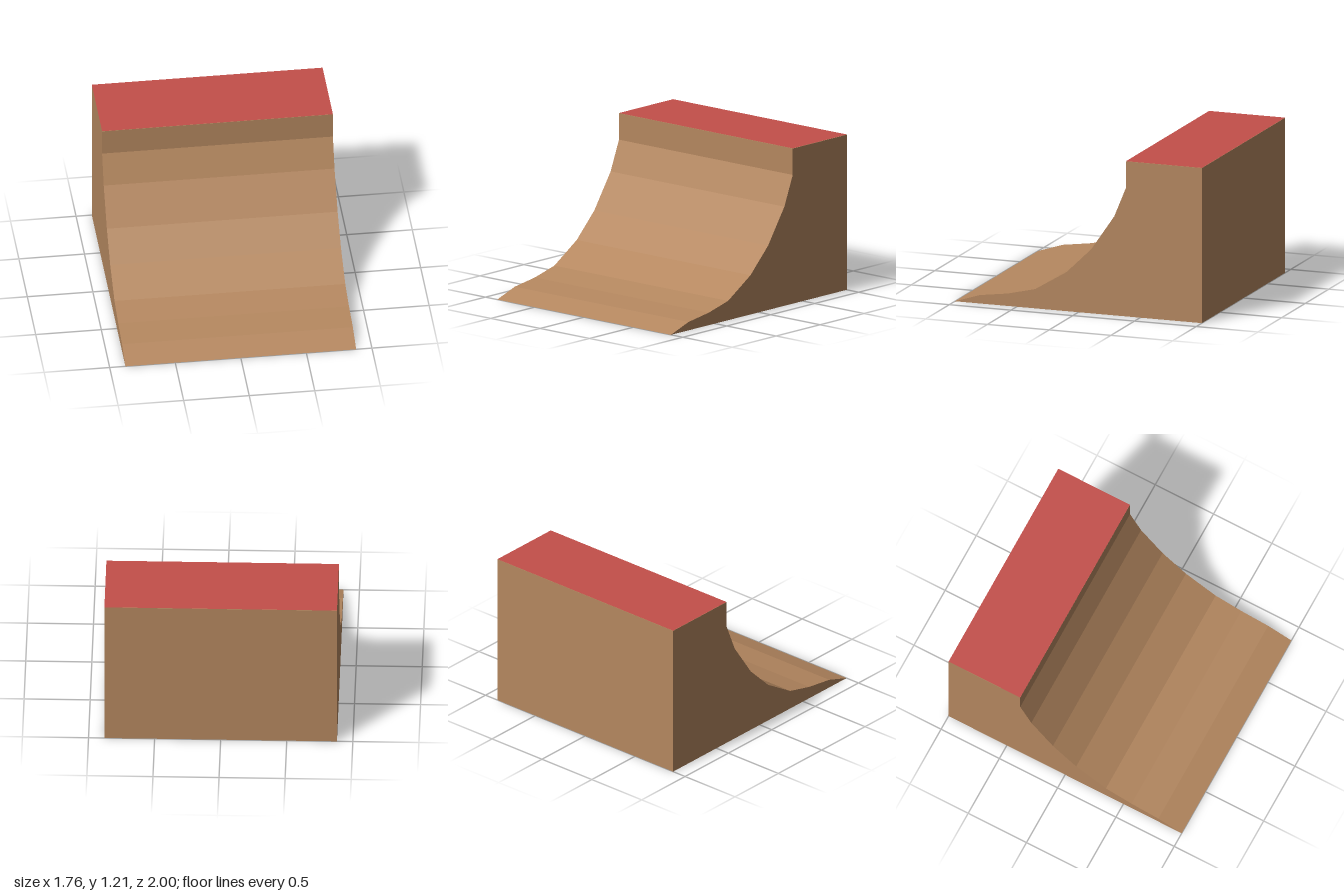
import * as THREE from 'three';

const WIDTH = 1.76;
const HEIGHT = 1.205;
const LIP_Z = -0.385;
const BACK_Z = -1;

// Side profile as [z, y], from the front toe up the curve to the deck and back
const PROFILE = [
  [1, 0], [0.8, 0.065], [0.57, 0.097], [0.35, 0.15], [0.095, 0.305], [-0.105, 0.5],
  [-0.29, 0.77], [LIP_Z, 1.0], [LIP_Z, HEIGHT], [BACK_Z, HEIGHT], [BACK_Z, 0],
];

export function createModel() {
  const wood = new THREE.MeshStandardMaterial({ color: 0xb4875f });
  wood.name = 'wood';
  const red = new THREE.MeshStandardMaterial({ color: 0xc34f4a });
  red.name = 'deck red';

  const group = new THREE.Group();
  group.name = 'quarterPipeRamp';

  // Ramp body: profile swept across the width
  const shape = new THREE.Shape(PROFILE.map(([z, y]) => new THREE.Vector2(z, y)));
  const bodyGeometry = new THREE.ExtrudeGeometry(shape, { depth: WIDTH, bevelEnabled: false });
  bodyGeometry.rotateY(-Math.PI / 2).translate(WIDTH / 2, 0, 0);
  const body = new THREE.Mesh(bodyGeometry, wood);
  body.name = 'rampBody';
  group.add(body);

  // Painted face on top of the platform
  const deckGeometry = new THREE.PlaneGeometry(WIDTH, LIP_Z - BACK_Z).rotateX(-Math.PI / 2);
  const deck = new THREE.Mesh(deckGeometry, red);
  deck.name = 'deckSurface';
  deck.position.set(0, HEIGHT + 0.002, (LIP_Z + BACK_Z) / 2);
  group.add(deck);

  return group;
}
